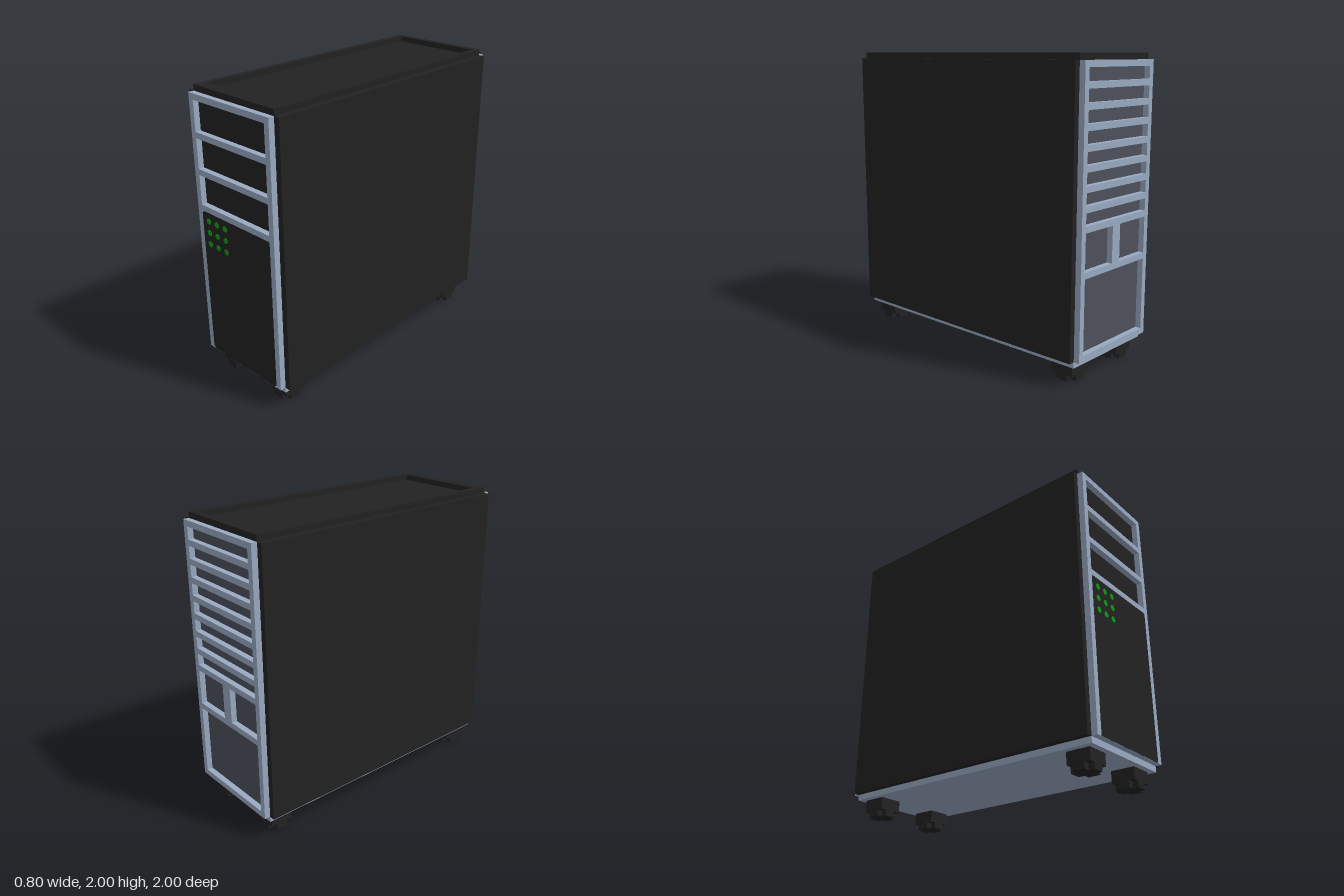
import * as THREE from 'three';

const mat = (name, color) => {
  const m = new THREE.MeshStandardMaterial({ color });
  m.name = name;
  return m;
};

// Extruded outline whose near face lies at z and which is `depth` thick
const rectPath = (P, x0, y0, x1, y1) => {
  const p = new P();
  p.moveTo(x0, y0); p.lineTo(x1, y0); p.lineTo(x1, y1); p.lineTo(x0, y1); p.closePath();
  return p;
};
const extrude = (shape, depth) => new THREE.ExtrudeGeometry(shape, { depth, bevelEnabled: false });

export function createModel() {
  const steel = mat('steel blue', 0x9aaac2);
  const black = mat('case black', 0x222222);
  const grey = mat('slot grey', 0x4d515c);
  const green = mat('light green', 0x109a14);

  const model = new THREE.Group();
  model.name = 'computerTower';
  const add = (name, geo, material, x = 0, y = 0, z = 0, parent = model) => {
    const m = new THREE.Mesh(geo, material);
    m.name = name;
    m.position.set(x, y, z);
    parent.add(m);
    return m;
  };
  // Box given by its minimum and maximum corners
  const box = (name, material, a, b, parent) => add(name,
    new THREE.BoxGeometry(b[0] - a[0], b[1] - a[1], b[2] - a[2]), material,
    (a[0] + b[0]) / 2, (a[1] + b[1]) / 2, (a[2] + b[2]) / 2, parent);

  // Core and floor plate
  box('chassis', steel, [-0.36, 0.16, -0.955], [0.36, 1.955, 0.955]);
  box('floorPlate', steel, [-0.36, 0.12, -0.96], [0.36, 0.16, 0.96]);

  // Side panels
  for (const s of [-1, 1]) {
    add(s > 0 ? 'leftPanel' : 'rightPanel', new THREE.BoxGeometry(0.04, 1.8, 1.92), black, s * 0.38, 1.06, 0);
  }

  // Lid with a raised rim around a sunken field
  box('lid', black, [-0.36, 1.95, -0.96], [0.36, 1.962, 0.96]);
  const rim = rectPath(THREE.Shape, -0.36, -0.96, 0.36, 0.96);
  rim.holes.push(rectPath(THREE.Path, -0.32, -0.88, 0.32, 0.92));
  add('lidRim', extrude(rim, 0.04), black, 0, 1.96, 0).rotation.x = -Math.PI / 2;

  // Front frame: three drive bays over an opening for the door
  const front = rectPath(THREE.Shape, -0.36, 0.16, 0.36, 1.96);
  for (let i = 0; i < 3; i++) {
    front.holes.push(rectPath(THREE.Path, -0.32, 1.72 - i * 0.24, 0.32, 1.92 - i * 0.24));
  }
  front.holes.push(rectPath(THREE.Path, -0.32, 0.161, 0.32, 1.2));
  add('frontFrame', extrude(front, 0.04), steel, 0, 0, 0.96);
  box('driveBays', black, [-0.33, 1.22, 0.955], [0.33, 1.93, 0.961]);

  // Flush door with clipped corners
  const c = 0.014, door = new THREE.Shape();
  [[-0.32 + c, 0.161], [0.32 - c, 0.161], [0.32, 0.161 + c], [0.32, 1.2 - c],
    [0.32 - c, 1.2], [-0.32 + c, 1.2], [-0.32, 1.2 - c], [-0.32, 0.161 + c]]
    .forEach(([x, y], i) => (i ? door.lineTo(x, y) : door.moveTo(x, y)));
  door.closePath();
  add('frontDoor', extrude(door, 0.04), black, 0, 0, 0.96);

  // Indicator lights, three by three
  const lamp = new THREE.CylinderGeometry(0.021, 0.021, 0.006, 8);
  lamp.rotateY(Math.PI / 8);
  lamp.rotateX(Math.PI / 2);
  for (let r = 0; r < 3; r++) {
    for (let k = 0; k < 3; k++) add('indicatorLight', lamp, green, -0.26 + k * 0.08, 1.14 - r * 0.08, 1.0);
  }

  // Back frame: eight slots, two square ports and one large opening
  const back = rectPath(THREE.Shape, -0.36, 0.16, 0.36, 1.96);
  for (let i = 0; i < 8; i++) {
    back.holes.push(rectPath(THREE.Path, -0.32, 1.84 - i * 0.12, 0.32, 1.92 - i * 0.12));
  }
  back.holes.push(rectPath(THREE.Path, -0.32, 0.72, -0.04, 0.96));
  back.holes.push(rectPath(THREE.Path, 0.04, 0.72, 0.32, 0.96));
  back.holes.push(rectPath(THREE.Path, -0.32, 0.2, 0.32, 0.68));
  add('backFrame', extrude(back, 0.04), steel, 0, 0, -1);
  box('backInsets', grey, [-0.33, 0.19, -0.961], [0.33, 1.93, -0.955]);

  // Feet: square block on a cross-shaped pad
  for (const x of [-0.24, 0.24]) {
    for (const z of [-0.84, 0.84]) {
      const foot = new THREE.Group();
      foot.name = 'foot';
      foot.position.set(x, 0, z);
      box('footBlock', black, [-0.08, 0.04, -0.08], [0.08, 0.12, 0.08], foot);
      box('footPad', black, [-0.08, 0, -0.04], [0.08, 0.04, 0.04], foot);
      for (const s of [-1, 1]) {
        add('footPadArm', new THREE.BoxGeometry(0.08, 0.04, 0.04), black, 0, 0.02, s * 0.06, foot);
      }
      model.add(foot);
    }
  }
  return model;
}
